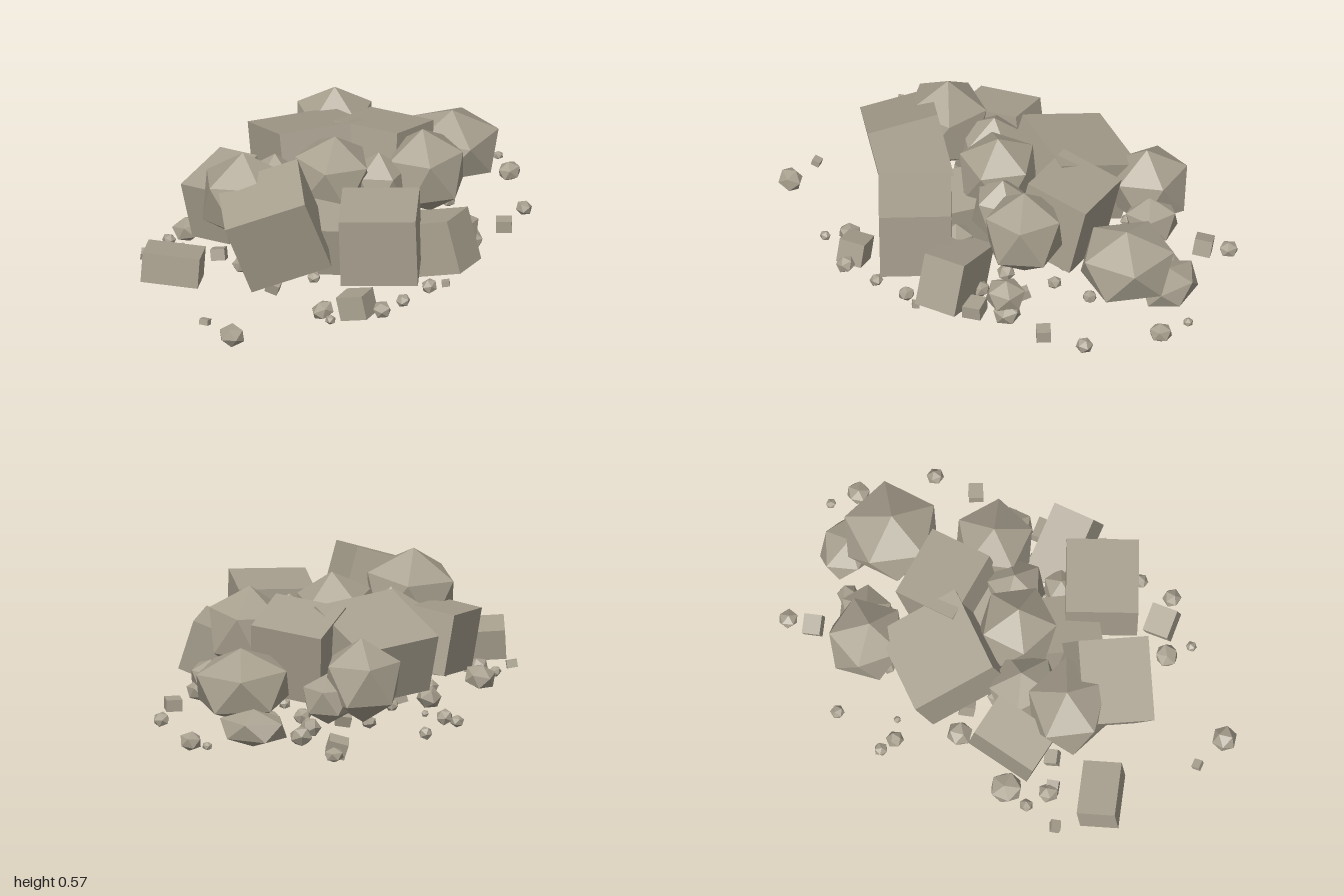
import * as THREE from 'three';

// x, y, z, width, height, depth, yaw, pitch, roll
const SLABS = [
  [-0.455, 0.315, 0.07, 0.30, 0.36, 0.35, 0.72, -0.33, 0.22],
  [-0.18, 0.265, 0.41, 0.30, 0.30, 0.32, 0.63, -0.03, 0.02],
  [0.07, 0.16, 0.48, 0.18, 0.23, 0.32, 0.2, -0.31, -0.06],
  [-0.69, 0.115, -0.28, 0.16, 0.13, 0.24, 0.52, 0.05, -0.12],
  [-0.28, 0.25, -0.34, 0.29, 0.26, 0.19, 0.06, -0.1, 0.18],
  [0.15, 0.31, -0.24, 0.38, 0.27, 0.37, -0.5, -0.3, -0.02],
  [0.31, 0.31, 0.02, 0.28, 0.32, 0.31, 0.12, -0.08, -0.2],
  [-0.17, 0.19, 0.17, 0.26, 0.22, 0.26, 0.8, 0.1, 0.15],
  [0.11, 0.20, 0.02, 0.28, 0.24, 0.26, 0.4, -0.1, 0.1],
];

// x, y, z, radius x, radius y, radius z, yaw
const BOULDERS = [
  [-0.41, 0.37, -0.12, 0.19, 0.20, 0.21, 0.4],
  [-0.03, 0.37, 0.03, 0.18, 0.18, 0.18, 1.1],
  [0.28, 0.35, 0.28, 0.18, 0.19, 0.18, 0.2],
  [0.67, 0.25, 0.09, 0.22, 0.16, 0.22, 0.47],
  [0.46, 0.28, -0.36, 0.18, 0.18, 0.18, 0.7],
  [0.80, 0.12, -0.03, 0.12, 0.08, 0.16, 0.15],
  [0.55, 0.21, -0.25, 0.12, 0.11, 0.12, 1.5],
  [-0.20, 0.30, -0.15, 0.16, 0.17, 0.15, 0.8],
  [0.30, 0.13, 0.44, 0.09, 0.07, 0.09, 0.5],
  [0.09, 0.32, 0.18, 0.13, 0.15, 0.13, 0.6],
  [-0.03, 0.20, 0.33, 0.08, 0.08, 0.08, 0.3],
];

// x, z, radius
const PEBBLES = [
  [-0.94, 0.24, 0.055], [-0.53, 0.39, 0.05], [-0.59, 0.48, 0.023], [-0.4, 0.6, 0.04],
  [-0.09, 0.6, 0.035], [-0.25, 0.59, 0.03], [0.71, 0.45, 0.036], [0.92, 0.2, 0.05],
  [0.98, 0.09, 0.022], [0.82, -0.42, 0.042], [0.68, -0.19, 0.05], [0.41, -0.63, 0.03],
  [0.17, -0.65, 0.03], [0.15, -0.58, 0.037], [0.19, -0.51, 0.016], [-0.05, -0.4, 0.055],
  [-0.35, -0.48, 0.07], [-0.46, -0.49, 0.03], [-0.5, -0.39, 0.045], [0.33, 0.47, 0.06],
];

// x, z, size
const CHIPS = [
  [-0.92, 0.08, 0.035], [-0.43, 0.49, 0.11], [0.2, 0.52, 0.08], [0.53, 0.49, 0.06],
  [0.72, -0.38, 0.075], [-0.61, -0.49, 0.04], [-0.02, 0.63, 0.03], [-0.5, -0.36, 0.05],
];

export function createModel() {
  const model = new THREE.Group();
  model.name = 'rubblePile';
  const stone = new THREE.MeshStandardMaterial({ color: 0xa8a08f });
  stone.name = 'stone';

  let seed = 17;
  const rand = (a, b) => {
    seed = (seed * 16807) % 2147483647;
    return a + (b - a) * (seed / 2147483647);
  };

  const cube = new THREE.BoxGeometry(1, 1, 1);
  // faceted rock with one point straight up
  const rock = new THREE.IcosahedronGeometry(1, 0).rotateZ(-0.5536);

  function add(name, geometry, position, scale, yaw, pitch = 0, roll = 0) {
    const mesh = new THREE.Mesh(geometry, stone);
    mesh.name = name;
    mesh.position.set(...position);
    mesh.scale.set(...scale);
    mesh.rotation.set(pitch, yaw, roll, 'YXZ');
    model.add(mesh);
  }

  const addPebble = (x, z, r) => add('pebble', rock, [x, 0.065 + rand(-0.01, 0.015), z],
    [r * 1.05, r * rand(0.75, 0.95), r], rand(0, 6), rand(-0.5, 0.5), rand(-0.5, 0.5));
  const addChip = (x, z, s) => add('stoneChip', cube, [x, 0.05 + s * 0.25, z],
    [s, s * rand(0.7, 0.95), s * 1.1], rand(0.2, 1), rand(-0.3, 0.3), rand(-0.3, 0.3));

  // large blocks and boulders
  for (const [x, y, z, w, h, d, yaw, pitch, roll] of SLABS) {
    add('stoneBlock', cube, [x, y, z], [w, h, d], yaw, pitch, roll);
  }
  for (const [x, y, z, rx, ry, rz, yaw] of BOULDERS) {
    add('boulder', rock, [x, y, z], [rx, ry, rz], yaw, rand(-0.08, 0.08), rand(-0.08, 0.08));
  }

  // loose debris around the edge
  PEBBLES.forEach((p) => addPebble(...p));
  CHIPS.forEach((c) => addChip(...c));

  // small debris beneath the pile
  const count = 34;
  for (let i = 0; i < count; i++) {
    const angle = i * 2.4;
    const reach = Math.sqrt((i + 0.5) / count);
    const x = 0.05 + 0.6 * reach * Math.cos(angle);
    const z = 0.42 * reach * Math.sin(angle);
    if (i % 3 === 0) addChip(x, z, rand(0.04, 0.07));
    else addPebble(x, z, rand(0.025, 0.05));
  }
  return model;
}
